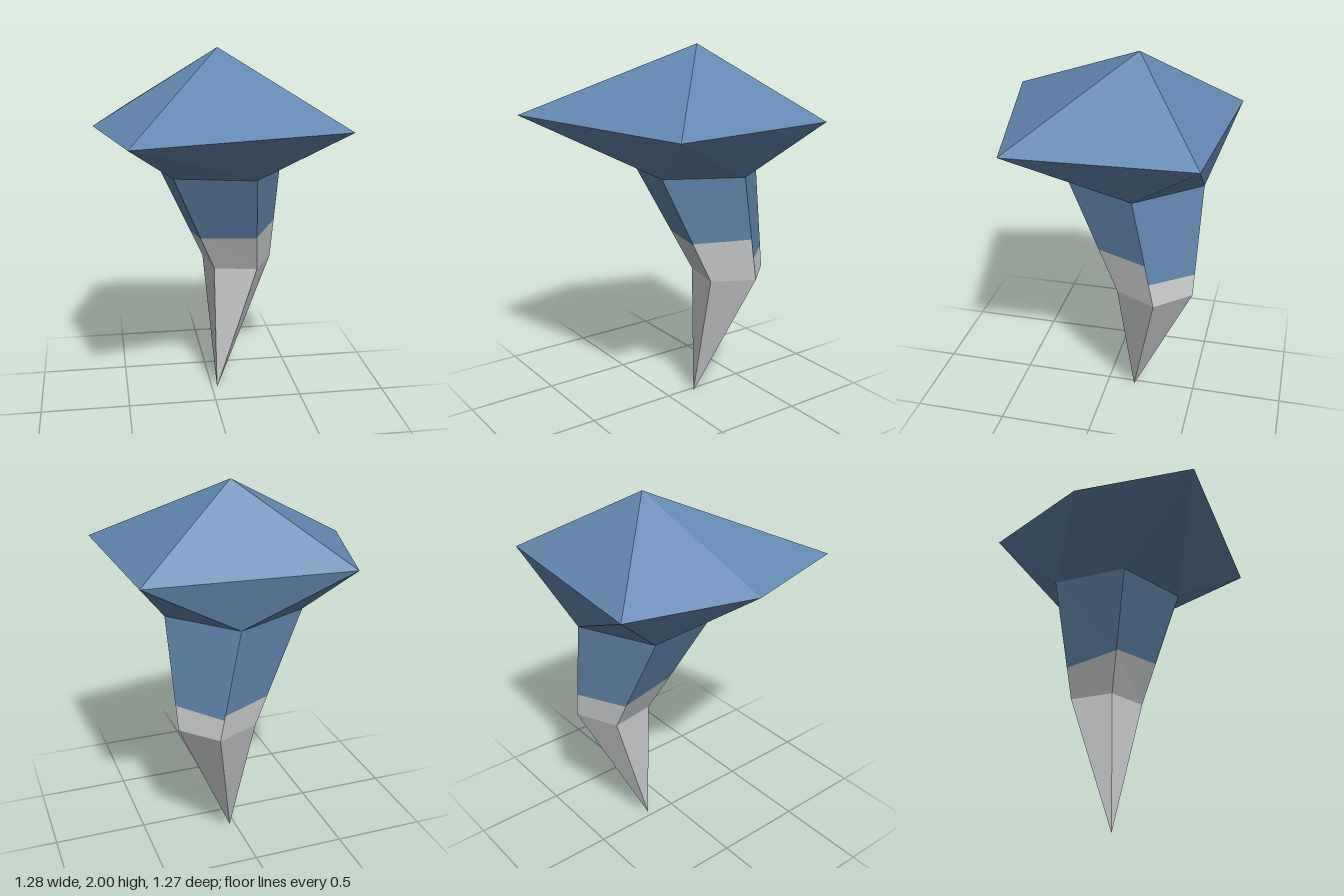
import * as THREE from 'three';

const blue = new THREE.MeshStandardMaterial({ color: 0x6288b0, flatShading: true });
blue.name = 'slate blue';
const grey = new THREE.MeshStandardMaterial({ color: 0xcbcdcf, flatShading: true });
grey.name = 'pale grey';

const ring = (y, points) => points.map(([x, z]) => new THREE.Vector3(x, y, z));

// Five-sided rings, each running from the +x side round to the front
const apex = new THREE.Vector3(0.03, 2, -0.157);
const rim = ring(1.63, [[0.6, -0.555], [0.64, 0.38], [-0.49, 0.635], [-0.64, 0.015], [-0.44, -0.64]]);
const neck = ring(1.35, [[0.394, -0.203], [0.193, 0.176], [-0.235, 0.075], [-0.294, -0.335], [0.103, -0.518]]);
const waist = ring(0.76, [[0.368, -0.317], [0.251, -0.1], [0.013, -0.15], [-0.024, -0.395], [0.203, -0.497]]);
const tip = new THREE.Vector3(0.03, 0, -0.155);

// Height of the colour change at the two corners of each stem face
const paintLine = [[1.0, 0.985], [0.98, 0.97], [0.965, 0.92], [0.91, 0.9], [0.875, 0.89]];

// Point on stem edge i at height y
const onStem = (i, y) => neck[i].clone().lerp(waist[i], (1.35 - y) / 0.59);

function facets(name, material, triangles) {
  const geometry = new THREE.BufferGeometry().setFromPoints(triangles.flat());
  geometry.computeVertexNormals();
  const mesh = new THREE.Mesh(geometry, material);
  mesh.name = name;
  return mesh;
}

// Two triangles from an upper edge (a, b) to a lower edge (c, d)
const quad = (a, b, c, d) => [[a, b, c], [b, d, c]];

export function createModel() {
  const group = new THREE.Group();
  group.name = 'faceted spike';
  const top = [], underside = [], upperStem = [], lowerStem = [], spike = [];

  for (let i = 0; i < 5; i++) {
    const j = (i + 1) % 5;
    const left = onStem(i, paintLine[i][0]);
    const right = onStem(j, paintLine[i][1]);
    top.push([apex, rim[j], rim[i]]);
    underside.push(...quad(rim[i], rim[j], neck[i], neck[j]));
    upperStem.push(...quad(neck[i], neck[j], left, right));
    lowerStem.push(...quad(left, right, waist[i], waist[j]));
    spike.push([waist[i], waist[j], tip]);
  }

  group.add(
    facets('capTop', blue, top),
    facets('capUnderside', blue, underside),
    facets('upperStem', blue, upperStem),
    facets('lowerStem', grey, lowerStem),
    facets('spike', grey, spike),
  );
  return group;
}
